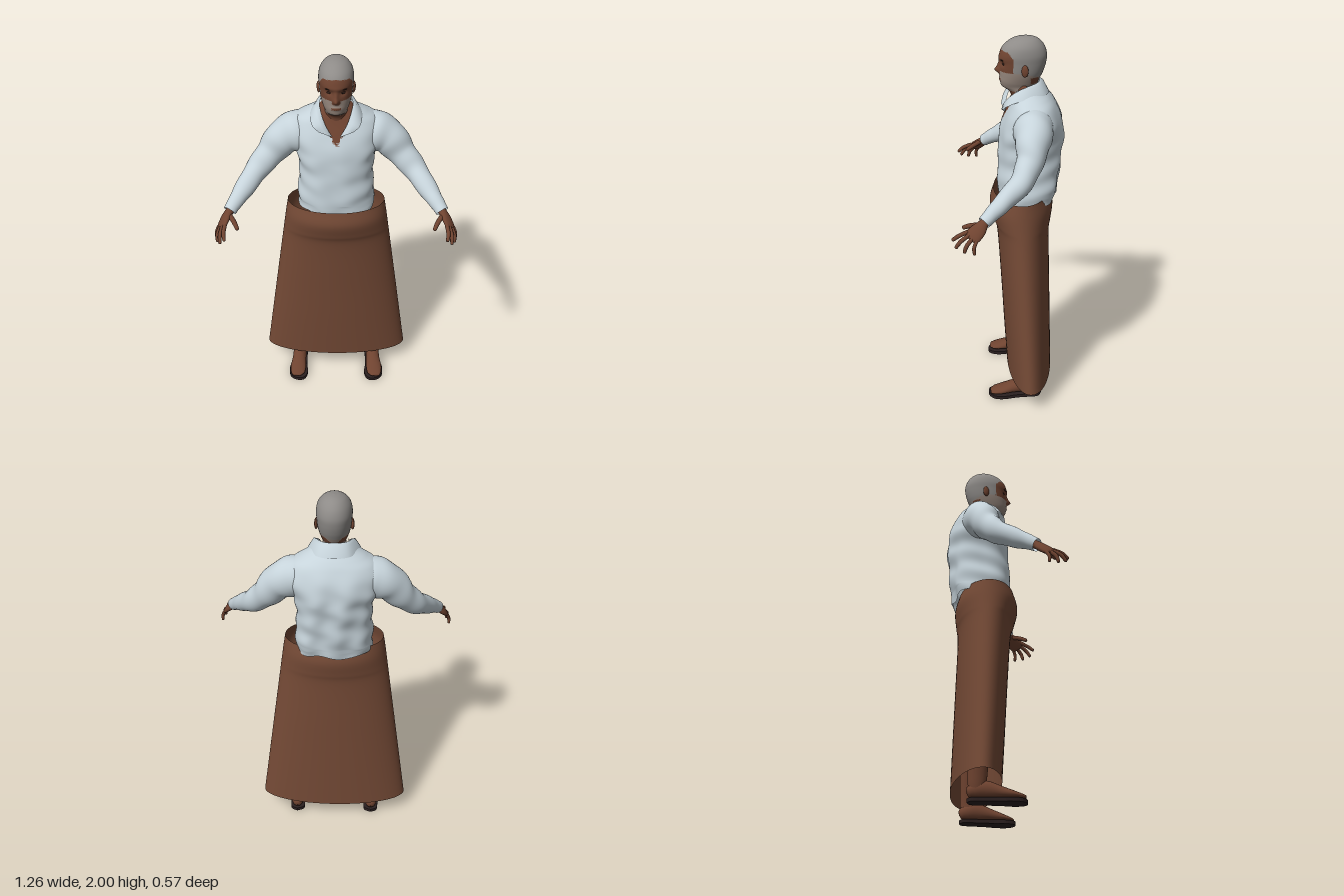
import * as THREE from 'three';

const V = (x, y, z) => new THREE.Vector3(x, y, z);
const mat = (name, color, side = THREE.FrontSide) => {
  const m = new THREE.MeshStandardMaterial({ color, side });
  m.name = name;
  return m;
};

// Smoothly interpolates rows of up to six numbers; t runs 0..1 over the rows
function rowSampler(rows) {
  const curve = o => new THREE.CatmullRomCurve3(
    rows.map(r => V(r[o] ?? 0, r[o + 1] ?? 0, r[o + 2] ?? 0)), false, 'catmullrom', 0.5);
  const a = curve(0), b = curve(3);
  return t => [...a.getPoint(t).toArray(), ...b.getPoint(t).toArray()];
}

// Closed-round surface from point(angle, t); pick(centroid) chooses a material index
function surface(name, point, seg, rows, mats, pick = () => 0) {
  const pts = [], lists = mats.map(() => []);
  for (let j = 0; j <= rows; j++)
    for (let i = 0; i < seg; i++) pts.push(point(i / seg * Math.PI * 2, j / rows));
  const c = V(0, 0, 0);
  const tri = (a, b, d) => {
    c.copy(pts[a]).add(pts[b]).add(pts[d]).divideScalar(3);
    lists[pick(c)].push(a, b, d);
  };
  for (let j = 0; j < rows; j++)
    for (let i = 0; i < seg; i++) {
      const k = (i + 1) % seg, a = j * seg + i, b = j * seg + k;
      tri(a, b, a + seg);
      tri(b, b + seg, a + seg);
    }
  const geo = new THREE.BufferGeometry().setFromPoints(pts);
  geo.setIndex(lists.flat());
  let start = 0;
  lists.forEach((l, i) => { geo.addGroup(start, l.length, i); start += l.length; });
  geo.computeVertexNormals();
  const mesh = new THREE.Mesh(geo, mats.length > 1 ? mats : mats[0]);
  mesh.name = name;
  return mesh;
}

// Upright body: rows of [y, half width, front z, back z, squareness]
function loft(name, rows, seg, n, mats, pick, shape = p => p) {
  const at = rowSampler(rows);
  const pow = (c, e) => Math.sign(c) * Math.abs(c) ** (2 / e);
  return surface(name, (a, t) => {
    const [y, rx, zf, zb, e] = at(t);
    return shape(V(rx * pow(Math.cos(a), e), y, (zf + zb) / 2 - (zf - zb) / 2 * pow(Math.sin(a), e)));
  }, seg, n, mats, pick);
}

// Limb: rows of [x, y, z, radius along side, other radius]
function limb(name, rows, side, seg, n, material, shape = () => 1) {
  const at = rowSampler(rows);
  return surface(name, (a, t) => {
    const r = at(t), p = V(r[0], r[1], r[2]);
    const q0 = at(Math.max(0, t - 0.01)), q1 = at(Math.min(1, t + 0.01));
    const dir = V(q1[0] - q0[0], q1[1] - q0[1], q1[2] - q0[2]).normalize();
    const s = side.clone().addScaledVector(dir, -side.dot(dir)).normalize();
    const b = dir.clone().cross(s), k = shape(a, t);
    return p.addScaledVector(s, Math.cos(a) * r[3] * k).addScaledVector(b, Math.sin(a) * r[4] * k);
  }, seg, n, [material]);
}

export function createModel() {
  const model = new THREE.Group();
  model.name = 'standingMan';
  const skin = mat('skin', 0x6f4330), hair = mat('greyHair', 0x8e8b88), beard = mat('greyBeard', 0x96877d);
  const shirt = mat('shirtCloth', 0xc6d3da, THREE.DoubleSide);
  const cloth = mat('wrapCloth', 0x734935, THREE.DoubleSide);
  const sole = mat('sandalSole', 0x2b2020), eyeDark = mat('eyeDark', 0x2e1d17);
  const bump = (d, w) => Math.exp(-d * d / (w * w));

  // Long wrapped skirt, open at both ends
  model.add(loft('skirt', [
    [0.12, 0.405, 0.01, -0.24, 2], [0.4, 0.367, 0.027, -0.232, 2], [0.68, 0.329, 0.043, -0.224, 2],
    [0.95, 0.292, 0.062, -0.217, 2], [1.03, 0.281, 0.083, -0.226, 2], [1.11, 0.27, 0.1, -0.234, 2],
    [1.185, 0.258, 0.08, -0.215, 2]], 72, 48, [cloth]));

  // Shirt body with an open neck, gentle folds and a ragged hem
  model.add(loft('shirtBody', [
    [1.155, 0.2, 0.055, -0.245, 2.5], [1.25, 0.2, 0.06, -0.262, 2.5], [1.35, 0.192, 0.055, -0.27, 2.5],
    [1.45, 0.2, 0.052, -0.28, 2.5], [1.53, 0.22, 0.042, -0.281, 2.5], [1.6, 0.23, 0.02, -0.268, 2.4],
    [1.66, 0.21, -0.005, -0.24, 2.3], [1.695, 0.16, -0.018, -0.215, 2.2], [1.725, 0.11, -0.03, -0.185, 2],
    [1.76, 0.07, -0.045, -0.15, 2]], 128, 100, [shirt, skin],
  p => p.z > -0.09 && p.y > 1.56 && Math.abs(p.x) < (p.y - 1.56) * 0.55 ? 1 : 0,
  p => {
    const low = Math.max(0, Math.min(1, (1.68 - p.y) / 0.2));
    const fold = 0.005 * Math.sin(p.x * 42 + p.y * 9) + 0.003 * Math.sin(p.x * 23 - p.y * 40);
    p.z += fold * low * (p.z < -0.1 ? 1.2 : 0.5);
    p.x += 0.004 * low * Math.sin(p.y * 55 + p.z * 14);
    if (p.y < 1.2) p.y += 0.01 * Math.sin(p.x * 31);
    return p;
  }));

  // Folded collar: a strip running round the neck, from one point to the other
  const half = (pts, s) => pts.map(p => V(p[0] * s, p[1], p[2]));
  const around = pts => new THREE.CatmullRomCurve3([...half(pts, 1), ...half(pts.slice(0, -1), -1).reverse()]);
  const edges = [
    [[0.02, 1.61, 0.018], [0.055, 1.675, 0.004], [0.076, 1.728, -0.03], [0.083, 1.757, -0.085], [0.055, 1.772, -0.14], [0, 1.775, -0.157]],
    [[0.045, 1.632, 0.038], [0.08, 1.685, 0.02], [0.1, 1.735, -0.03], [0.1, 1.755, -0.09], [0.066, 1.765, -0.158], [0, 1.768, -0.177]],
    [[0.085, 1.643, 0.028], [0.115, 1.665, 0.015], [0.13, 1.69, -0.03], [0.125, 1.71, -0.1], [0.08, 1.715, -0.182], [0, 1.715, -0.205]]
  ].map(around);
  const strip = [], idx = [], N = 60;
  for (let i = 0; i <= N; i++) edges.forEach(e => strip.push(e.getPoint(i / N)));
  for (let i = 0; i < N; i++)
    for (let k = 0; k < 2; k++) {
      const a = i * 3 + k;
      idx.push(a, a + 1, a + 3, a + 1, a + 4, a + 3);
    }
  const collarGeo = new THREE.BufferGeometry().setFromPoints(strip);
  collarGeo.setIndex(idx);
  collarGeo.computeVertexNormals();
  const collar = new THREE.Mesh(collarGeo, shirt);
  collar.name = 'collar';
  model.add(collar);

  // Head and neck, coloured by hairline and beard line
  const colourOf = ({ x, y, z }) => {
    const ax = Math.abs(x);
    if (y < 1.725 && z > -0.06) return 0;
    if (y > 1.825 && y < 1.937 - ax * 0.12 && z > -0.022 + Math.max(0, y - 1.9) * 0.9) return 0;
    if (z > 0.03 && ax < 0.02 && y > 1.806 && y < 1.83) return 0;
    if (z > 0.02 && ax < 0.024 && y > 1.776 && y < 1.788) return 0;
    if (z < -0.11 && z > -0.15 && y > 1.765 && y < 1.8) return 0;
    return y > 1.825 + Math.min(0, (z + 0.08) * 0.35) ? 1 : 2;
  };
  model.add(loft('head', [
    [1.66, 0.068, -0.015, -0.14, 2], [1.7, 0.062, -0.012, -0.14, 2], [1.725, 0.059, 0.005, -0.14, 2],
    [1.745, 0.058, 0.035, -0.142, 2], [1.77, 0.067, 0.043, -0.15, 2.1], [1.8, 0.076, 0.044, -0.165, 2.1],
    [1.83, 0.082, 0.044, -0.178, 2.1], [1.87, 0.086, 0.045, -0.189, 2.1], [1.91, 0.088, 0.046, -0.192, 2.1],
    [1.95, 0.08, 0.028, -0.18, 2], [1.98, 0.058, -0.008, -0.155, 2], [1.995, 0.03, -0.045, -0.125, 2],
    [2.0, 0.001, -0.087, -0.089, 2]], 120, 130, [skin, hair, beard], colourOf,
  p => {
    if (p.z > -0.02) {
      const { x, y } = p, ax = Math.abs(x);
      p.z += 0.023 * bump(x, 0.015) * bump(y - 1.826, 0.016) + 0.011 * bump(x, 0.011) * bump(y - 1.85, 0.022);
      p.z -= 0.009 * bump(ax - 0.034, 0.018) * bump(y - 1.866, 0.014);
      p.z += 0.004 * bump(y - 1.89, 0.012) * bump(x, 0.06) + 0.005 * bump(x, 0.024) * bump(y - 1.783, 0.012);
    }
    return p;
  }));

  const ball = (name, material, pos, scale, rotY = 0) => {
    const m = new THREE.Mesh(new THREE.SphereGeometry(1, 20, 14), material);
    m.name = name;
    m.position.set(...pos);
    m.scale.set(...scale);
    m.rotation.y = rotY;
    model.add(m);
  };

  for (const s of [1, -1]) {
    const tag = s > 0 ? 'left' : 'right';
    const side = rows => rows.map(r => [r[0] * s, ...r.slice(1)]);

    // Ear, eye and brow
    ball(tag + 'Ear', skin, [s * 0.087, 1.842, -0.08], [0.009, 0.031, 0.018], s * -0.35);
    ball(tag + 'Eye', eyeDark, [s * 0.034, 1.865, 0.026], [0.013, 0.006, 0.006], s * 0.3);
    ball(tag + 'Brow', eyeDark, [s * 0.036, 1.886, 0.035], [0.019, 0.004, 0.005], s * 0.35);

    // Sleeve with soft folds
    model.add(limb(tag + 'Sleeve', side([
      [0.12, 1.585, -0.125, 0.07, 0.085], [0.19, 1.572, -0.12, 0.1, 0.108], [0.27, 1.535, -0.115, 0.088, 0.095],
      [0.34, 1.455, -0.095, 0.068, 0.076], [0.41, 1.38, -0.05, 0.058, 0.062], [0.48, 1.308, 0.04, 0.046, 0.05],
      [0.525, 1.262, 0.1, 0.036, 0.038], [0.547, 1.237, 0.13, 0.032, 0.034]]),
    V(0, 0.3, 1), 32, 60, shirt,
    (a, t) => 1 + 0.035 * Math.sin(t * 38 + 2 * Math.cos(a)) * Math.sin(Math.PI * t)));

    // Hand: palm, four fingers and thumb
    const across = V(0.04 * s, -0.035, -0.055).normalize();
    model.add(limb(tag + 'Palm', side([
      [0.525, 1.26, 0.1, 0.022, 0.022], [0.548, 1.235, 0.13, 0.025, 0.021], [0.568, 1.21, 0.155, 0.038, 0.019],
      [0.584, 1.185, 0.183, 0.041, 0.015], [0.59, 1.174, 0.196, 0.03, 0.008], [0.591, 1.172, 0.198, 0.001, 0.001]]),
    across, 20, 24, skin));
    const fingers = {
      Index: [[0.567, 1.202, 0.206], [0.572, 1.182, 0.25], [0.566, 1.155, 0.284]],
      Middle: [[0.579, 1.192, 0.197], [0.592, 1.163, 0.24], [0.592, 1.125, 0.268]],
      Ring: [[0.592, 1.18, 0.183], [0.608, 1.147, 0.212], [0.61, 1.108, 0.226]],
      Little: [[0.603, 1.17, 0.165], [0.617, 1.138, 0.178], [0.621, 1.102, 0.176]],
      Thumb: [[0.55, 1.228, 0.148], [0.522, 1.212, 0.192], [0.5, 1.19, 0.234]]
    };
    for (const [name, [a, b, c]] of Object.entries(fingers)) {
      const mix = (p, q, t) => p.map((v, i) => v + (q[i] - v) * t);
      const r = name === 'Thumb' ? 0.0125 : name === 'Little' ? 0.009 : 0.0105;
      model.add(limb(tag + name + 'Finger', side([
        [...a, r, r], [...b, r, r], [...mix(b, c, 0.8), r * 0.85, r * 0.8],
        [...mix(b, c, 0.96), r * 0.55, r * 0.5], [...c, 0.0005, 0.0005]]), across, 12, 16, skin));
    }

    // Leg and bare foot
    model.add(limb(tag + 'Leg', side([
      [0.215, 0.05, -0.13, 0.033, 0.04], [0.22, 0.12, -0.128, 0.035, 0.047], [0.215, 0.3, -0.12, 0.05, 0.055],
      [0.18, 0.6, -0.09, 0.06, 0.062], [0.13, 1.0, -0.07, 0.085, 0.085]]), V(1, 0, 0), 24, 24, skin));
    model.add(limb(tag + 'Foot', side([
      [0.213, 0.045, -0.178, 0.002, 0.002], [0.213, 0.048, -0.17, 0.022, 0.026], [0.214, 0.058, -0.14, 0.035, 0.041],
      [0.217, 0.063, -0.085, 0.038, 0.046], [0.22, 0.052, -0.02, 0.04, 0.034], [0.225, 0.04, 0.04, 0.045, 0.023],
      [0.226, 0.032, 0.085, 0.039, 0.014], [0.224, 0.03, 0.102, 0.024, 0.009], [0.224, 0.029, 0.108, 0.001, 0.001]]),
    V(1, 0, 0), 24, 40, skin));

    // Flat sandal sole; shape y becomes -z
    const outline = new THREE.Shape(new THREE.SplineCurve([
      [0.215, 0.178], [0.175, 0.155], [0.175, 0.08], [0.174, 0], [0.168, -0.06], [0.188, -0.108], [0.23, -0.114],
      [0.268, -0.085], [0.276, -0.03], [0.262, 0.04], [0.255, 0.11], [0.248, 0.16], [0.215, 0.178]
    ].map(p => new THREE.Vector2(p[0] * s, p[1]))).getPoints(60));
    const soleMesh = new THREE.Mesh(
      new THREE.ExtrudeGeometry(outline, { depth: 0.019, bevelEnabled: false }), sole);
    soleMesh.name = tag + 'Sandal';
    soleMesh.rotation.x = -Math.PI / 2;
    model.add(soleMesh);
  }
  return model;
}
